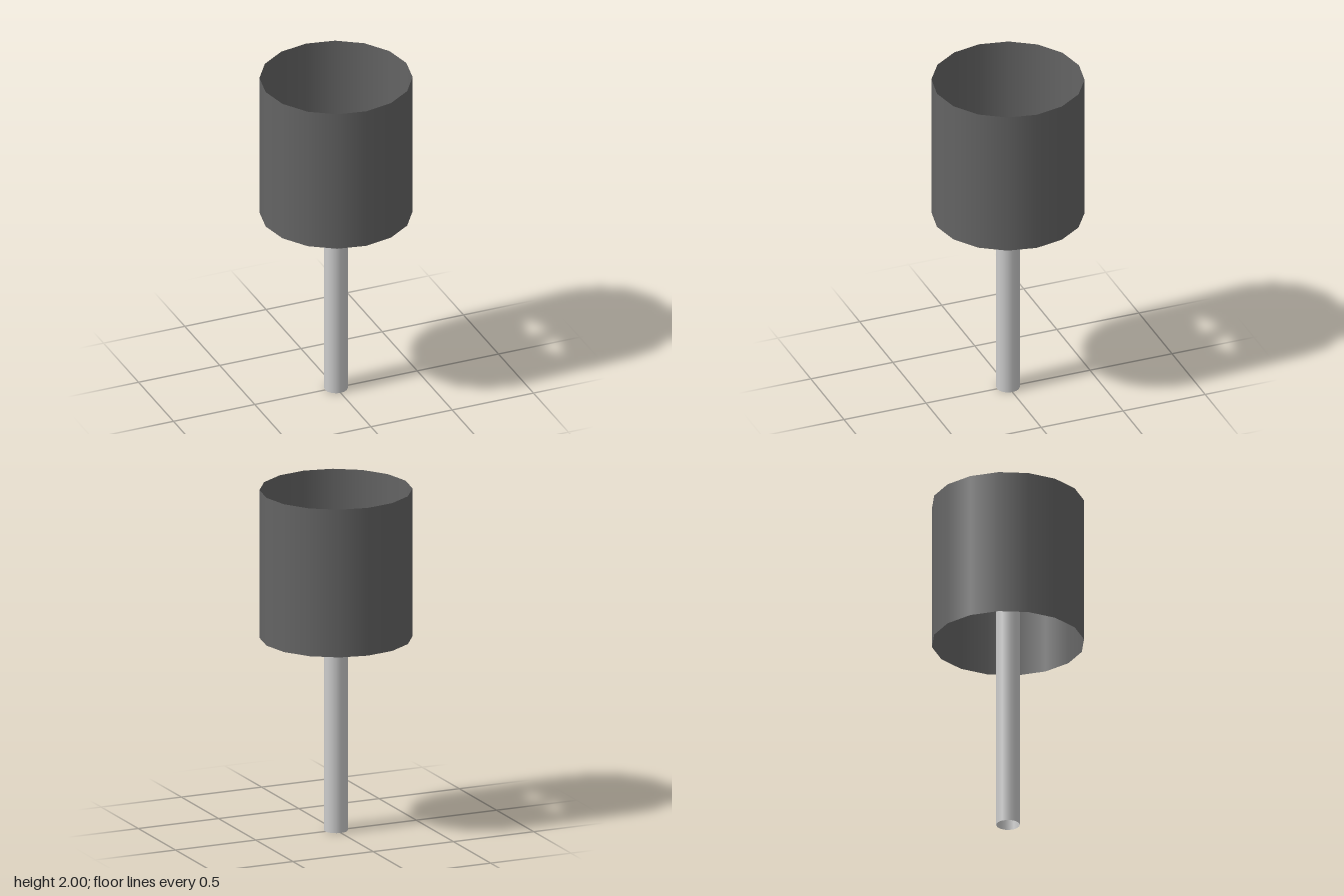
import * as THREE from 'three';

// Open-ended upright tube standing between two heights
function openTube(name, radius, bottom, top, color) {
  const geometry = new THREE.CylinderGeometry(radius, radius, top - bottom, 16, 1, true);
  geometry.translate(0, (bottom + top) / 2, 0);
  const mesh = new THREE.Mesh(
    geometry,
    new THREE.MeshStandardMaterial({ color, side: THREE.DoubleSide })
  );
  mesh.name = name;
  return mesh;
}

export function createModel() {
  const model = new THREE.Group();
  model.name = 'tubeOnPost';

  // Slim post, running up inside the wide drum
  model.add(openTube('post', 0.067, 0, 1.57, 0xcccccc));

  // Wide dark drum, open at top and bottom
  model.add(openTube('drum', 0.433, 1.133, 2, 0x646464));

  return model;
}
